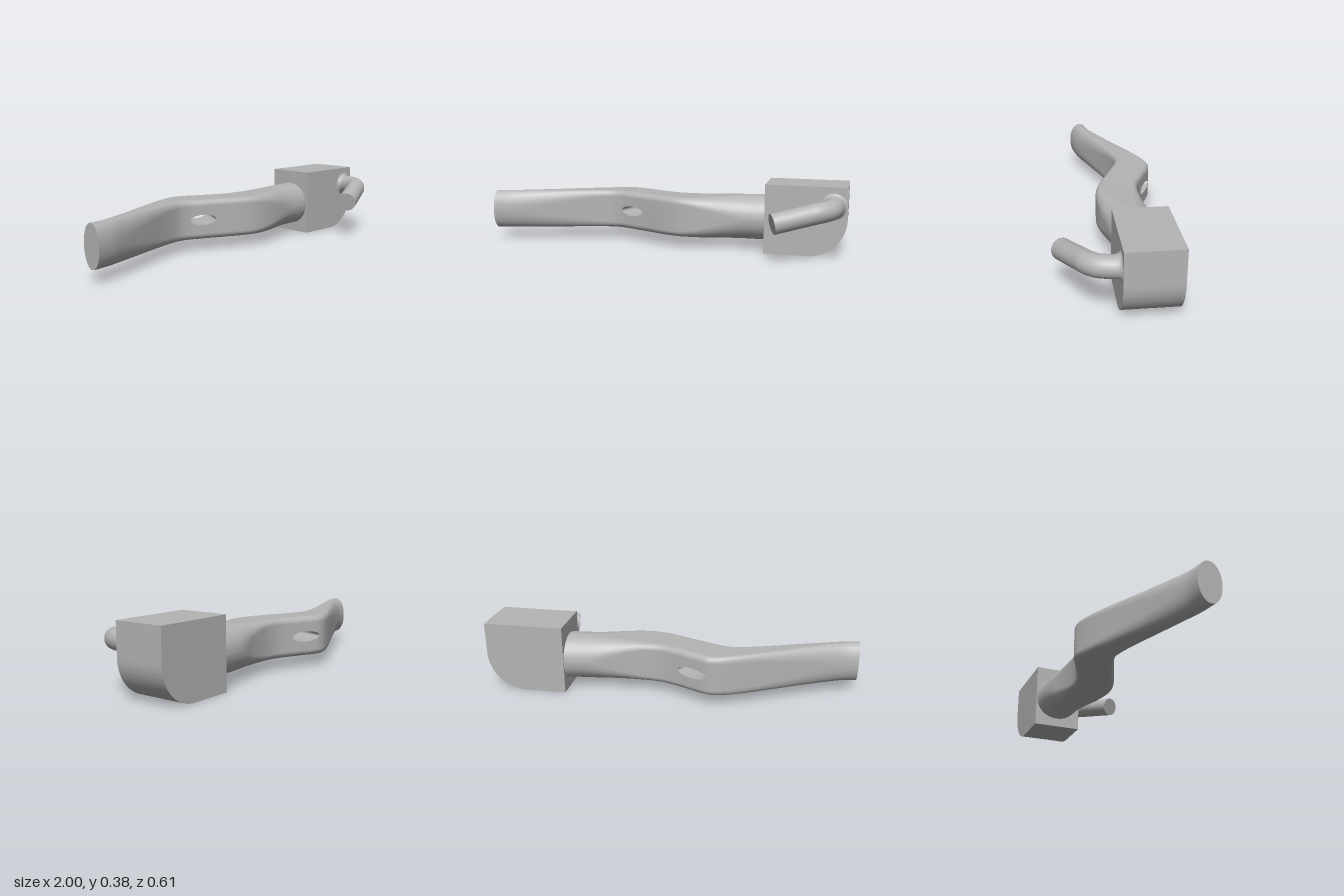
import * as THREE from 'three';
import { mergeVertices, mergeGeometries, toCreasedNormals } from 'three/addons/utils/BufferGeometryUtils.js';

const MID_Y = 0.175;

// Stations along the arm: front x, front z, back x, back z
const STATIONS = [
  [-1, 0.105, -1, -0.02], [-0.9, 0.083, -0.92, -0.035], [-0.8, 0.045, -0.83, -0.068],
  [-0.65, -0.015, -0.68, -0.13], [-0.5, -0.075, -0.51, -0.207], [-0.4, -0.106, -0.37, -0.27],
  [-0.34, -0.116, -0.28, -0.302], [-0.29, -0.109, -0.225, -0.307], [-0.2, -0.075, -0.115, -0.262],
  [-0.12, -0.042, -0.035, -0.225], [0, 0.01, 0.05, -0.196], [0.08, 0.035, 0.12, -0.19],
  [0.15, 0.042, 0.18, -0.194], [0.25, 0.035, 0.27, -0.208], [0.4, 0.01, 0.4, -0.24],
  [0.57, -0.004, 0.57, -0.26],
];

// Skin between rows of points; rows run along x
function grid(rows) {
  const n = rows[0].length;
  const index = [];
  for (let i = 0; i < rows.length - 1; i++) {
    for (let j = 0; j < n - 1; j++) {
      const a = i * n + j, b = a + n;
      index.push(a, b, b + 1, a, b + 1, a + 1);
    }
  }
  const g = new THREE.BufferGeometry().setFromPoints(rows.flat());
  g.setIndex(index);
  return g;
}

function smooth(geometry) {
  const g = mergeVertices(geometry, 1e-5);
  g.computeVertexNormals();
  return g;
}

function buildArm(material) {
  const group = new THREE.Group();
  group.name = 'arm';
  const spline = new THREE.CubicInterpolant(STATIONS.map((s) => s[0]), STATIONS.flat(), 4);

  // Sample positions, with the slot ends met exactly: [x, slot half height]
  const samples = [];
  for (let i = 0; i < 32; i++) samples.push([-1 + (0.72 * i) / 32, 0]);
  const slotStart = samples.length, slotSteps = 20;
  for (let i = 0; i <= slotSteps; i++) {
    const t = (Math.PI * i) / slotSteps;
    samples.push([-0.21 - 0.07 * Math.cos(t), i % slotSteps ? 0.028 * Math.sin(t) : 0]);
  }
  for (let i = 1; i <= 32; i++) samples.push([-0.14 + (0.71 * i) / 32, 0]);

  const upper = [], lower = [];
  for (const [x, slot] of samples) {
    const [fx, fz, bx, bz] = spline.evaluate(x);
    const half = 0.11 + 0.015 * THREE.MathUtils.smoothstep(x, 0.05, 0.57);
    // Oval at the ends, a rounded rectangle in the middle
    const round = 0.3 + 0.66 * Math.max(
      1 - THREE.MathUtils.smoothstep(x, -1, -0.3), THREE.MathUtils.smoothstep(x, 0.05, 0.5));
    const point = (u, y) => new THREE.Vector3(
      (fx + bx) / 2 + (u * (fx - bx)) / 2, MID_Y + y, (fz + bz) / 2 + (u * (fz - bz)) / 2);
    const section = [[1, slot]];
    for (const side of [1, -1]) {
      for (let k = 0; k <= 8; k++) {
        const a = (Math.PI / 2) * (side > 0 ? k / 8 : 1 - k / 8);
        section.push([side * (1 - round + round * Math.cos(a)), half * (1 - round + round * Math.sin(a))]);
      }
    }
    section.push([-1, slot]);
    upper.push(section.map(([u, y]) => point(u, y)));
    lower.push(section.map(([u, y]) => point(u, -y)).reverse());
  }
  const skin = new THREE.Mesh(smooth(mergeGeometries([grid(upper), grid(lower)])), material);
  skin.name = 'armSkin';

  // Walls of the slot running through the arm
  const slotRows = (rows, flip) => rows.slice(slotStart, slotStart + slotSteps + 1).map((r) => {
    const ends = [r[0], r[r.length - 1]];
    return flip ? ends.reverse() : ends;
  });
  const walls = new THREE.Mesh(
    smooth(mergeGeometries([grid(slotRows(upper, true)), grid(slotRows(lower, true))])), material);
  walls.name = 'slotWalls';

  // Flat free end
  const ring = [...upper[0], ...lower[0]];
  const centre = new THREE.Vector3(-1, MID_Y, 0.0425);
  const fan = ring.flatMap((p, j) => [centre, p, ring[(j + 1) % ring.length]]);
  const capGeometry = new THREE.BufferGeometry().setFromPoints(fan);
  capGeometry.setAttribute('normal', new THREE.Float32BufferAttribute(fan.flatMap(() => [-1, 0, 0]), 3));
  const cap = new THREE.Mesh(capGeometry, material);
  cap.name = 'armEnd';

  group.add(skin, walls, cap);
  return group;
}

function buildBlock(material) {
  // Block with one large rounded lower corner
  const shape = new THREE.Shape();
  shape.moveTo(0.567, 0);
  shape.lineTo(0.795, 0);
  shape.absarc(0.795, 0.205, 0.205, -Math.PI / 2, 0, false);
  shape.lineTo(1, 0.376);
  shape.lineTo(0.567, 0.376);
  shape.closePath();
  const g = new THREE.ExtrudeGeometry(shape, { depth: 0.275, bevelEnabled: false, curveSegments: 24 });
  g.translate(0, 0, -0.265);
  const block = new THREE.Mesh(toCreasedNormals(g, 0.5), material);
  block.name = 'block';
  return block;
}

function buildHook(material) {
  const group = new THREE.Group();
  group.name = 'hook';
  const radius = 0.054;
  const path = new THREE.CatmullRomCurve3([
    [0.927, 0.272, 0], [0.927, 0.272, 0.05], [0.908, 0.27, 0.112], [0.865, 0.264, 0.153],
    [0.815, 0.253, 0.176], [0.73, 0.234, 0.214], [0.638, 0.213, 0.254],
  ].map((p) => new THREE.Vector3(...p)));
  const rod = new THREE.Mesh(new THREE.TubeGeometry(path, 48, radius, 28), material);
  rod.name = 'hookRod';

  const end = new THREE.Mesh(new THREE.CircleGeometry(radius, 28), material);
  end.name = 'hookEnd';
  end.position.copy(path.getPoint(1));
  end.lookAt(end.position.clone().add(path.getTangent(1)));

  // Concave fillet where the rod meets the block
  const profile = [];
  for (let i = 0; i <= 8; i++) {
    const a = (Math.PI / 2) * (i / 8);
    profile.push(new THREE.Vector2(radius + 0.019 * (1 - Math.sin(a)), 0.026 * (1 - Math.cos(a))));
  }
  const fillet = new THREE.Mesh(new THREE.LatheGeometry(profile, 32), material);
  fillet.name = 'hookFillet';
  fillet.rotation.x = Math.PI / 2;
  fillet.position.set(0.927, 0.272, 0.01);

  group.add(rod, end, fillet);
  return group;
}

export function createModel() {
  const grey = new THREE.MeshStandardMaterial({ color: 0xb4b4b4 });
  grey.name = 'grey';
  const model = new THREE.Group();
  model.name = 'lever';
  model.add(buildArm(grey), buildBlock(grey), buildHook(grey));
  return model;
}
